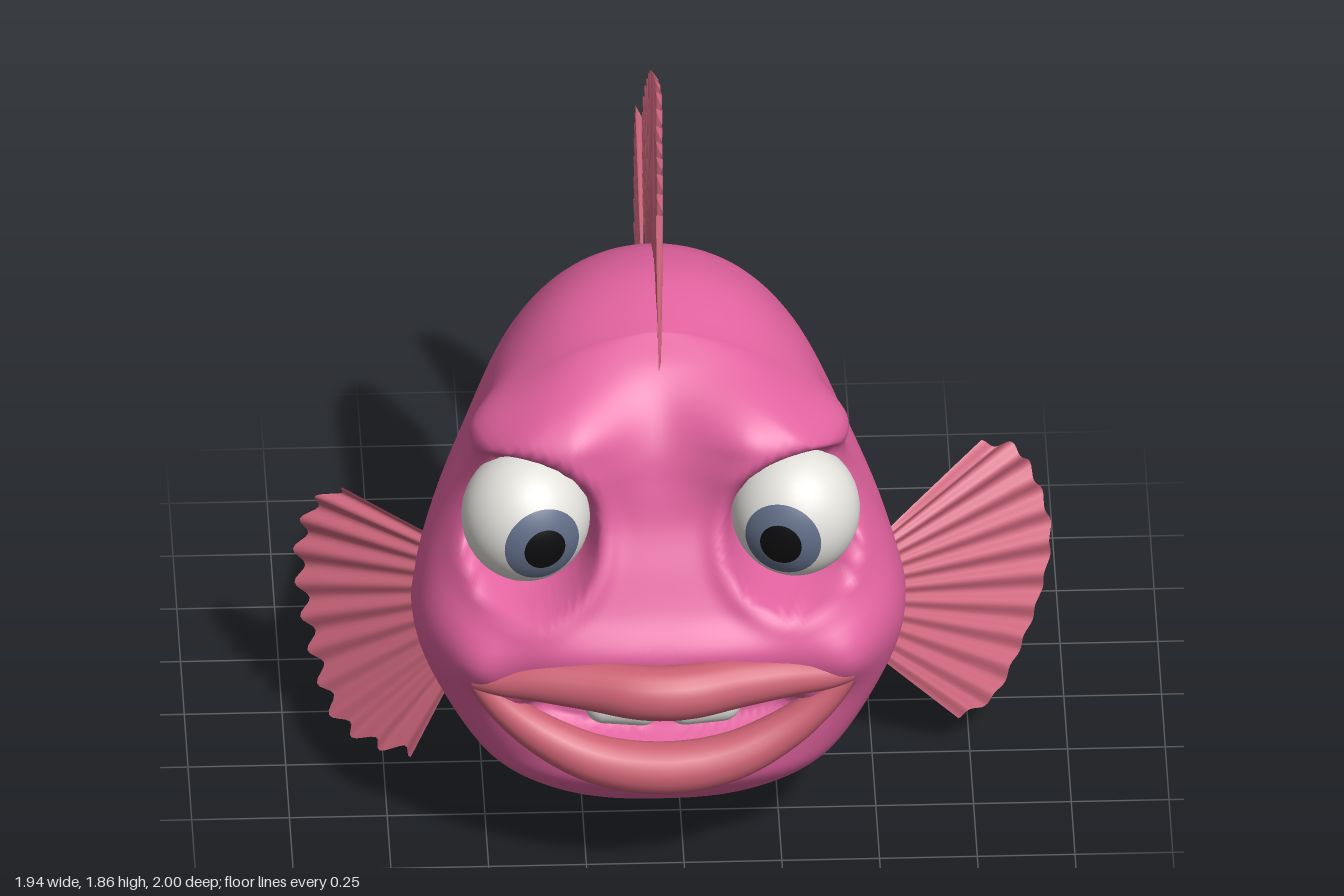
import * as THREE from 'three';
import { RoundedBoxGeometry } from 'three/addons/geometries/RoundedBoxGeometry.js';

const mat = (name, color, side = THREE.FrontSide) => {
  const m = new THREE.MeshStandardMaterial({ color, side });
  m.name = name;
  return m;
};
const V = (p) => new THREE.Vector3(...p);
const { smoothstep, lerp } = THREE.MathUtils;

// Smooth function through [input, output] points (cubic Hermite)
function through(pts) {
  const n = pts.length - 1;
  const slope = (i) => {
    const a = pts[Math.max(i - 1, 0)], b = pts[Math.min(i + 1, n)];
    return (b[1] - a[1]) / (b[0] - a[0]);
  };
  return (x) => {
    x = Math.min(Math.max(x, pts[0][0]), pts[n][0]);
    let i = 0;
    while (i < n - 1 && x > pts[i + 1][0]) i++;
    const h = pts[i + 1][0] - pts[i][0], t = (x - pts[i][0]) / h, t2 = t * t, t3 = t2 * t;
    return (2 * t3 - 3 * t2 + 1) * pts[i][1] + (t3 - 2 * t2 + t) * h * slope(i)
      + (3 * t2 - 2 * t3) * pts[i + 1][1] + (t3 - t2) * h * slope(i + 1);
  };
}

// Body profiles along z, half cross-section by angle, and face centreline by height
const topY = through([[-0.58, 0.92], [-0.5, 0.95], [-0.4, 1.03], [-0.3, 1.14], [-0.2, 1.25], [-0.1, 1.33], [0, 1.4], [0.1, 1.44], [0.25, 1.46], [0.45, 1.42]]);
const botY = through([[-0.58, 0.73], [-0.5, 0.66], [-0.4, 0.55], [-0.3, 0.43], [-0.2, 0.31], [-0.1, 0.21], [0, 0.12], [0.1, 0.055], [0.2, 0.015], [0.3, 0], [0.45, 0.025]]);
const halfW = through([[-0.58, 0.015], [-0.4, 0.17], [-0.2, 0.34], [-0.1, 0.42], [0, 0.483], [0.1, 0.535], [0.2, 0.58], [0.3, 0.61], [0.45, 0.632]]);
const section = through([[0, 0], [22.5, 0.34], [45, 0.69], [67.5, 0.92], [82, 1], [95, 0.95], [112.5, 0.8], [135, 0.62], [157.5, 0.37], [180, 0]]);
const faceZ = through([[0.025, 0.45], [0.05, 0.51], [0.1, 0.6], [0.17, 0.7], [0.27, 0.81], [0.35, 0.83], [0.55, 0.85], [0.7, 0.89], [0.8, 0.83], [0.9, 0.78], [1, 0.73], [1.1, 0.7], [1.2, 0.67], [1.3, 0.61], [1.37, 0.54], [1.42, 0.45]]);
const EYE = { x: 0.345, y: 0.985, z: 0.62, r: 0.165 };
const RIM = 0.45;

function bodyGeometry() {
  const cols = 128, backRows = 36, faceRows = 64, pos = [], idx = [];
  const y0 = botY(RIM), h0 = topY(RIM) - y0, w0 = halfW(RIM);
  const eyeDist = (ax, y) => Math.hypot(ax - EYE.x, (y - EYE.y) / 1.06);

  // Arched brows, cheeks, eyelid rings, eye sockets and the mouth hollow
  const shape = (x, y, z, face) => {
    let ax = Math.abs(x);
    if (face) {
      const brow = smoothstep(eyeDist(ax, y), 0.15, 0.23) * smoothstep(y, 0.98, 1.16)
        * (1 - smoothstep(y, 1.22, 1.4)) * smoothstep(ax, 0, 0.24) * smoothstep(z, 0.45, 0.57);
      z += brow * Math.max(0, 0.745 - 2 * Math.max(0, ax - 0.2) ** 2 - z);
      z += 0.05 * Math.exp(-(((ax - 0.49) / 0.09) ** 2) - ((y - 0.63) / 0.1) ** 2) * smoothstep(z, 0.45, 0.6);
    }
    const bulge = Math.exp(-(((y - 1.21) / 0.1) ** 2) - ((z - 0.53) / 0.15) ** 2) * smoothstep(ax, 0.2, 0.4);
    x += Math.sign(x) * 0.08 * bulge;
    if (face) {
      const r = eyeDist(Math.abs(x), y);
      z += 0.015 * Math.exp(-(((r - 0.205) / 0.03) ** 2)) * smoothstep(z, 0.5, 0.62);
      z -= (1 - smoothstep(r, 0.15, 0.185)) * Math.max(0, z - 0.59);
      const m = Math.hypot(x / 0.4, (y - 0.49) / 0.1);
      z -= (1 - smoothstep(m, 0.7, 1.05)) * Math.max(0, z - 0.74);
    }
    pos.push(x, y, z);
  };

  for (let i = 0; i <= backRows + faceRows; i++) {
    for (let j = 0; j < cols; j++) {
      const deg = (j / cols) * 360, a = deg > 180 ? 360 - deg : deg, rad = a * Math.PI / 180;
      const yn = (1 - Math.cos(rad)) / 2, sign = deg > 180 ? -1 : 1;
      if (i <= backRows) {
        // Towards the tail the section turns into a plain ellipse
        const z = i < 2 ? -0.58 : -0.58 + (RIM + 0.58) * (i - 1) / (backRows - 1);
        const k = i === 0 ? 0 : 1, lo = botY(z), hi = topY(z);
        const xn = sign * lerp(Math.sin(rad), section(a), smoothstep(z, -0.25, 0.4));
        shape(k * xn * halfW(z), lo + (hi - lo) * (0.5 + k * (yn - 0.5)), z, false);
      } else {
        const s = Math.cos((i - backRows) / faceRows * Math.PI / 2);
        const fy = 0.45 + s * (yn - 0.45), fx = s * sign * section(a);
        const w = section(Math.acos(1 - 2 * fy) * 180 / Math.PI);
        const ratio = Math.min(1, Math.abs(fx) / Math.max(w, 1e-4));
        const y = y0 + h0 * fy;
        shape(fx * w0, y, RIM + (faceZ(y) - RIM) * (1 - ratio ** 2.6) ** 0.385, true);
      }
    }
  }
  for (let i = 0; i < backRows + faceRows; i++) for (let j = 0; j < cols; j++) {
    const a = i * cols + j, b = i * cols + (j + 1) % cols;
    idx.push(a, b, b + cols, a, b + cols, a + cols);
  }
  const g = new THREE.BufferGeometry();
  g.setAttribute('position', new THREE.Float32BufferAttribute(pos, 3));
  g.setIndex(idx);
  g.computeVertexNormals();
  return g;
}

// Tube that swells in the middle; half the path is given and mirrored
function lipGeometry(half, rEnd, rMid) {
  const pts = [...half, ...half.slice(0, -1).reverse().map(([x, y, z]) => [-x, y, z])];
  const curve = new THREE.CatmullRomCurve3(pts.map(V));
  const rows = 72, sides = 20, g = new THREE.TubeGeometry(curve, rows, 1, sides);
  const p = g.attributes.position, v = new THREE.Vector3();
  for (let i = 0; i < p.count; i++) {
    const t = Math.floor(i / (sides + 1)) / rows, c = curve.getPointAt(t);
    const r = rEnd + (rMid - rEnd) * Math.max(0, Math.sin(Math.PI * t)) ** 0.8;
    v.fromBufferAttribute(p, i).sub(c).multiplyScalar(r).add(c);
    p.setXYZ(i, v.x, v.y, v.z);
  }
  return g;
}

// Pleated fan between a base curve and a scalloped outer edge
function finGeometry(base, edge, ribs, amp) {
  const bc = new THREE.CatmullRomCurve3(base.map(V)), ec = new THREE.CatmullRomCurve3(edge.map(V));
  const n = ribs * 8, rows = 8, pos = [], idx = [];
  const across = ec.getPoint(1).sub(ec.getPoint(0));
  const normal = ec.getPoint(0.5).sub(bc.getPoint(0.5)).cross(across).normalize();
  for (let i = 0; i <= n; i++) {
    const u = i / n, b = bc.getPointAt(u), e = ec.getPointAt(u), wave = u * ribs * Math.PI * 2;
    const dir = e.clone().sub(b).normalize();
    e.addScaledVector(dir, 0.012 * Math.cos(wave) - 0.008);
    for (let k = 0; k <= rows; k++) {
      const t = k / rows;
      const q = b.clone().lerp(e, t).addScaledVector(normal, amp * Math.sqrt(t) * Math.cos(wave));
      pos.push(q.x, q.y, q.z);
      if (i < n && k < rows) {
        const a = i * (rows + 1) + k, c = a + rows + 1;
        idx.push(a, c, c + 1, a, c + 1, a + 1);
      }
    }
  }
  const g = new THREE.BufferGeometry();
  g.setAttribute('position', new THREE.Float32BufferAttribute(pos, 3));
  g.setIndex(idx);
  g.computeVertexNormals();
  return g;
}

export function createModel() {
  const root = new THREE.Group();
  root.name = 'fish';
  const skin = mat('pink skin', 0xe2629f), fin = mat('salmon fin', 0xcd667c, THREE.DoubleSide);
  const lip = mat('coral lip', 0xcd6274), white = mat('eye white', 0xe4e2dd);
  const iris = mat('slate iris', 0x626e88), black = mat('black pupil', 0x0d0d0f), enamel = mat('tooth', 0xdeddd8);
  const add = (name, geo, material, parent = root) => {
    const m = new THREE.Mesh(geo, material);
    m.name = name;
    parent.add(m);
    return m;
  };

  add('body', bodyGeometry(), skin);

  // Mouth
  add('upperLip', lipGeometry([[0.48, 0.59, 0.775], [0.42, 0.597, 0.8], [0.32, 0.615, 0.835], [0.18, 0.626, 0.88], [0.07, 0.628, 0.918], [0, 0.628, 0.926]], 0.028, 0.072), lip);
  add('lowerLip', lipGeometry([[0.475, 0.575, 0.77], [0.41, 0.505, 0.78], [0.31, 0.43, 0.8], [0.17, 0.37, 0.83], [0, 0.35, 0.845]], 0.026, 0.068), lip);

  // Eyes and front teeth
  for (const s of [1, -1]) {
    const side = s > 0 ? 'left' : 'right';
    const eye = new THREE.Group();
    eye.name = side + 'Eye';
    eye.position.set(s * EYE.x, EYE.y, EYE.z);
    eye.scale.y = 1.06;
    root.add(eye);
    add('eyeball', new THREE.SphereGeometry(EYE.r, 40, 28), white, eye);
    const look = V([-s * 0.045, -0.01, 0.16]).normalize();
    for (const [name, lift, angle, m] of [['iris', 0.002, 0.64, iris], ['pupil', 0.004, 0.33, black]]) {
      const cap = add(name, new THREE.SphereGeometry(EYE.r + lift, 40, 10, 0, Math.PI * 2, 0, angle), m, eye);
      cap.quaternion.setFromUnitVectors(V([0, 1, 0]), look);
    }
    const tooth = add(side + 'Tooth', new RoundedBoxGeometry(0.2, 0.18, 0.11, 6, 0.053), enamel);
    tooth.position.set(s * 0.102, 0.54, 0.775);
    tooth.rotation.y = s * 0.15;
  }

  // Fins
  add('dorsalFin', finGeometry(
    [[0, 1.32, 0.57], [0, 1.38, 0.35], [0, 1.38, 0.1], [0, 1.27, -0.1], [0, 1.16, -0.25]],
    [[0.005, 1.74, 0.41], [0.01, 1.8, 0.3], [0.015, 1.83, 0.12], [0.02, 1.86, -0.02], [0.015, 1.83, -0.14], [0.01, 1.74, -0.27], [0, 1.59, -0.38], [0, 1.42, -0.39], [0, 1.3, -0.38]], 20, 0.009), fin);
  add('tailFin', finGeometry(
    [[0, 0.91, -0.56], [0, 0.82, -0.55], [0, 0.73, -0.56]],
    [[0, 1.28, -0.84], [0, 1.15, -0.94], [0, 1, -0.985], [0, 0.85, -1], [0, 0.65, -0.975], [0, 0.47, -0.91], [0, 0.36, -0.82]], 14, 0.009), fin);
  add('leftSideFin', finGeometry(
    [[0.56, 0.61, 0.21], [0.54, 0.5, 0.25], [0.51, 0.38, 0.3]],
    [[0.85, 0.74, -0.06], [0.935, 0.71, -0.09], [0.99, 0.61, -0.1], [1.03, 0.46, -0.06], [1, 0.32, 0.01], [0.94, 0.2, 0.1], [0.87, 0.11, 0.18], [0.78, 0.1, 0.25]], 11, 0.011), fin);
  add('rightSideFin', finGeometry(
    [[-0.53, 0.62, 0.18], [-0.52, 0.48, 0.24], [-0.5, 0.33, 0.3]],
    [[-0.78, 0.66, -0.03], [-0.86, 0.6, -0.07], [-0.905, 0.45, -0.07], [-0.89, 0.3, 0], [-0.86, 0.18, 0.07], [-0.81, 0.08, 0.17], [-0.72, 0.055, 0.25], [-0.62, 0.06, 0.31]], 11, 0.011), fin);

  // Body axis sits a little off centre because the side fins differ
  for (const part of root.children) part.position.x -= 0.055;
  return root;
}
